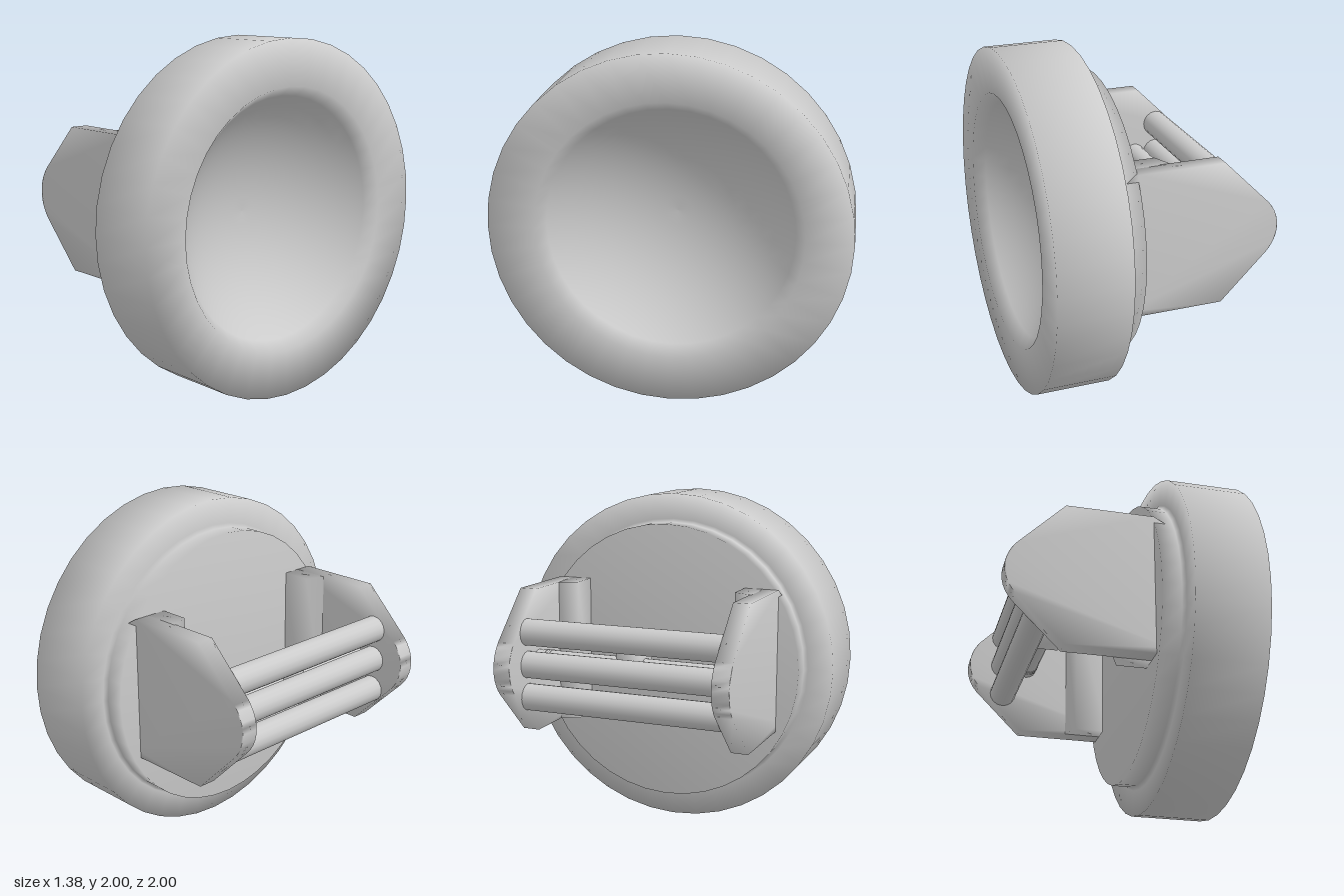
import * as THREE from 'three';
import { mergeVertices } from 'three/addons/utils/BufferGeometryUtils.js';

// Share corners so the shading runs softly over the edges
function soften(geometry) {
  geometry.deleteAttribute('normal');
  geometry.deleteAttribute('uv');
  const merged = mergeVertices(geometry, 1e-4);
  merged.computeVertexNormals();
  return merged;
}

export function createModel() {
  const group = new THREE.Group();
  const material = new THREE.MeshStandardMaterial({ color: 0xcccccc });
  const add = (name, geometry, x = 0, y = 0, z = 0) => {
    const mesh = new THREE.Mesh(geometry, material);
    mesh.name = name;
    mesh.position.set(x, y, z);
    group.add(mesh);
  };
  const midY = 1.06;

  // Round housing: stepped back disc and thick rim, turned about the x axis
  const profile = [
    [0, 0.14], [0.83, 0.14], [0.83, 0.25], [0.85, 0.27], [1, 0.27], [1, 0.69], [0.74, 0.69],
  ].map(([r, h]) => new THREE.Vector2(r, h));
  // Spherical bowl hollowed into the front
  const bowlRadius = 0.74, bowlDepth = 0.38;
  const sphere = (bowlRadius ** 2 + bowlDepth ** 2) / (2 * bowlDepth);
  const edgeAngle = Math.asin(bowlRadius / sphere);
  for (let i = 9; i >= 0; i--) {
    const a = (edgeAngle * i) / 10;
    profile.push(new THREE.Vector2(sphere * Math.sin(a), 0.69 - bowlDepth + sphere * (1 - Math.cos(a))));
  }
  const housing = new THREE.LatheGeometry(profile, 40);
  housing.rotateZ(-Math.PI / 2);
  add('housing', housing, 0, 1, 0);

  // Pointed side plates with a rounded tip, tapering into the disc
  const plate = new THREE.Shape();
  plate.moveTo(0.21, -0.38);
  plate.lineTo(0.21, 0.38);
  plate.lineTo(0.14, 0.42);
  plate.lineTo(-0.36, 0.42);
  plate.lineTo(-0.63, 0.15);
  plate.bezierCurveTo(-0.71, 0.06, -0.71, -0.06, -0.63, -0.15);
  plate.lineTo(-0.36, -0.42);
  plate.lineTo(0.14, -0.42);
  const plateGeometry = soften(new THREE.ExtrudeGeometry(plate, { depth: 0.1, bevelEnabled: false, curveSegments: 10 }));
  plateGeometry.translate(0, 0, -0.05);

  // Sloped foot inside each plate, extruded along the height
  const footGeometry = (s) => {
    const outline = [[-0.08, 0.61], [-0.03, 0.495], [0.16, 0.495], [0.16, 0.61]];
    const shape = new THREE.Shape(outline.map(([x, z]) => new THREE.Vector2(x, s * z)));
    const geometry = new THREE.ExtrudeGeometry(shape, { depth: 0.84, bevelEnabled: false });
    return soften(geometry.rotateX(Math.PI / 2));
  };

  for (const [side, s] of [['left', 1], ['right', -1]]) {
    add(side + 'Plate', plateGeometry, 0, midY, s * 0.65);
    add(side + 'Foot', footGeometry(s), 0, midY + 0.42, 0);
  }

  // Cross bars between the plates
  const rod = (radius, length) => new THREE.CylinderGeometry(radius, radius, length, 16).rotateX(Math.PI / 2);
  for (const offset of [-0.19, 0, 0.19]) add('crossBar', rod(0.078, 1.22), -0.478, midY + offset, 0);

  // Inner axle with its collars and centre block
  add('axle', rod(0.063, 1.22), -0.335, midY);
  for (const z of [-0.55, -0.52]) add('axleCollar', rod(0.066, 0.015), -0.335, midY, z);
  add('centreBlock', soften(new THREE.BoxGeometry(0.16, 0.2, 0.15)), -0.32, midY, 0);

  return group;
}
